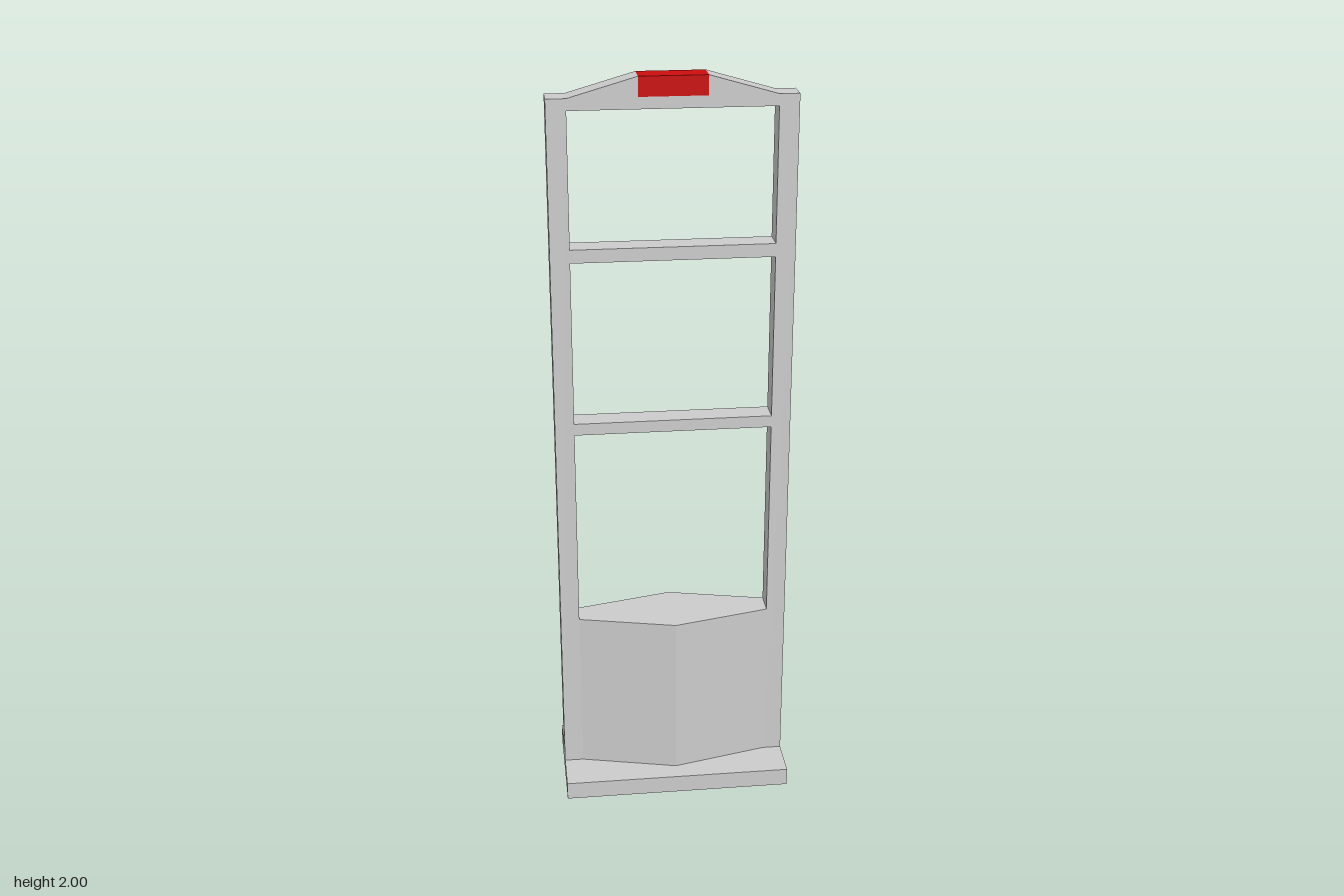
import * as THREE from 'three';

const grey = new THREE.MeshStandardMaterial({ color: 0xcccccc, flatShading: true });
const red = new THREE.MeshStandardMaterial({ color: 0xcc0c0c, flatShading: true });

const HALF = 0.313;   // half width of the gate
const INNER = 0.262;  // inner face of the posts
const DEPTH = 0.066;  // frame depth
const BASE = 0.05;    // base plate height

// Box spanning x0..x1 and y0..y1, centred on z
function slab(name, x0, x1, y0, y1, depth, material = grey) {
  const mesh = new THREE.Mesh(new THREE.BoxGeometry(x1 - x0, y1 - y0, depth), material);
  mesh.position.set((x0 + x1) / 2, (y0 + y1) / 2, 0);
  mesh.name = name;
  return mesh;
}

// Outline extruded along +z
function extrude(name, points, depth) {
  const shape = new THREE.Shape(points.map(([x, y]) => new THREE.Vector2(x, y)));
  const mesh = new THREE.Mesh(
    new THREE.ExtrudeGeometry(shape, { depth, bevelEnabled: false }), grey);
  mesh.name = name;
  return mesh;
}

export function createModel() {
  const model = new THREE.Group();
  model.name = 'securityGate';

  model.add(slab('basePlate', -HALF, HALF, 0, BASE, 0.298));

  // Upright posts
  model.add(slab('leftPost', INNER, HALF, BASE, 1.95, DEPTH));
  model.add(slab('rightPost', -HALF, -INNER, BASE, 1.95, DEPTH));

  // Cross rails
  model.add(slab('lowerRail', -INNER, INNER, 1.064, 1.096, DEPTH));
  model.add(slab('upperRail', -INNER, INNER, 1.535, 1.57, DEPTH));

  // Sloped header with a notch for the lamp
  const lamp = 0.087;
  const header = extrude('header', [
    [-INNER, 1.92], [INNER, 1.92], [INNER, 1.95], [lamp, 2],
    [lamp, 1.95], [-lamp, 1.95], [-lamp, 2], [-INNER, 1.95],
  ], DEPTH);
  header.position.z = -DEPTH / 2;
  model.add(header);
  model.add(slab('alarmLamp', -lamp, lamp, 1.95, 2, DEPTH, red));

  // Housing with a faceted, hexagonal plan
  const z = DEPTH / 2;
  const housing = extrude('lowerHousing', [
    [-INNER, -z], [0, -0.096], [INNER, -z], [INNER, z], [0, 0.096], [-INNER, z],
  ], 0.51 - BASE);
  housing.rotation.x = -Math.PI / 2;
  housing.position.y = BASE;
  model.add(housing);

  return model;
}
